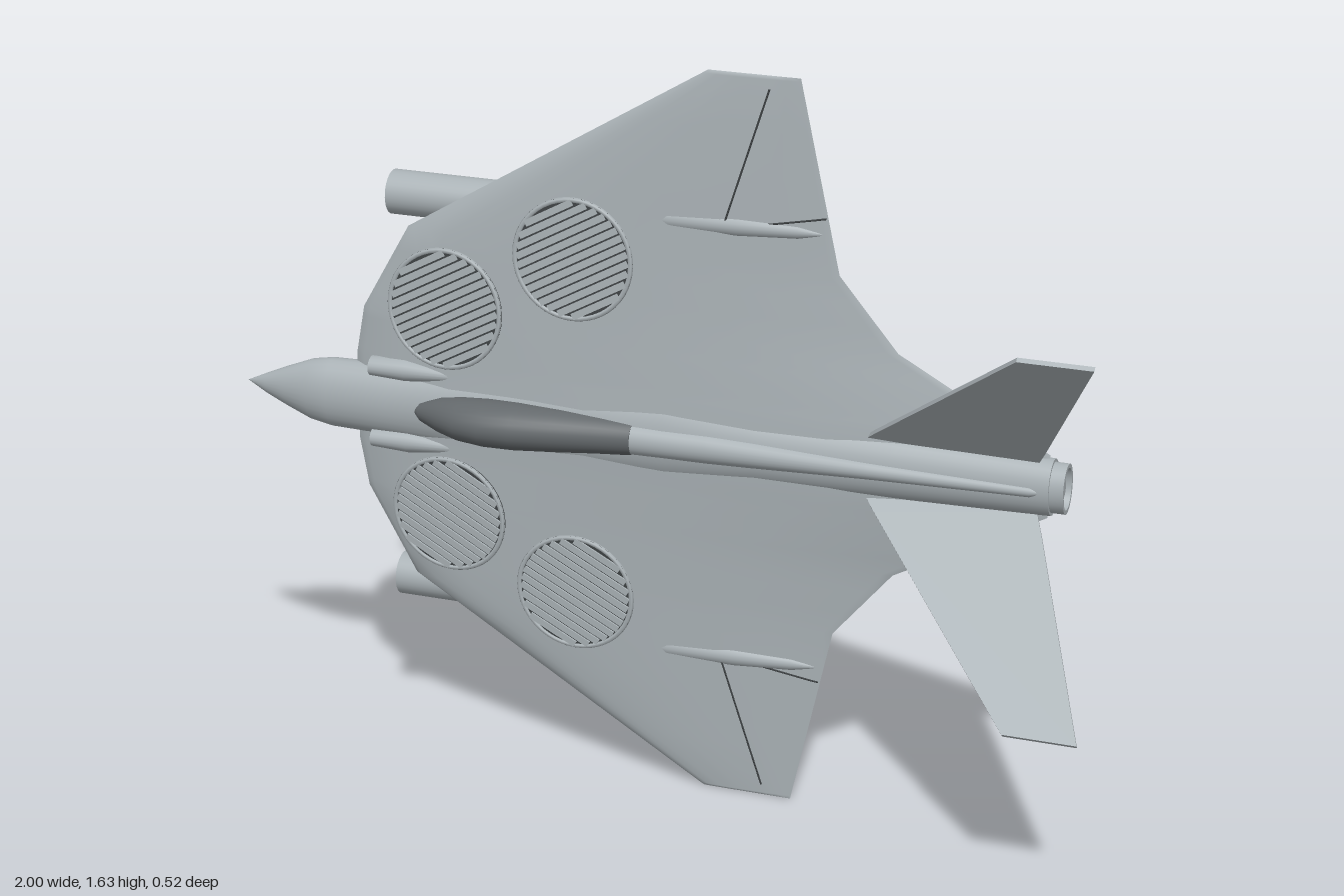
import * as THREE from 'three';

const MID_Y = 0.817, MID_Z = -0.105;

// Piecewise linear lookup in [[key, value], ...]
function lerpTable(table, k) {
  for (let i = 1; i < table.length; i++) {
    const [k0, v0] = table[i - 1], [k1, v1] = table[i];
    if (k <= k1) return v0 + (v1 - v0) * Math.max(0, (k - k0) / (k1 - k0));
  }
  return table[table.length - 1][1];
}

// Wing planform and thickness against span distance, and section against chord
const LEADING = [[0, -0.73], [0.1, -0.73], [0.21, -0.71], [0.405, -0.6], [0.817, 0.08]];
const TRAILING = [[0, 0.83], [0.07, 0.83], [0.12, 0.74], [0.19, 0.61], [0.25, 0.5], [0.405, 0.37], [0.817, 0.28]];
const THICK = [[0, 0.05], [0.1, 0.044], [0.405, 0.031], [0.6, 0.02], [0.81, 0.007], [0.817, 0]];
const SECTION = [[0, 0], [0.015, 0.3], [0.06, 0.65], [0.15, 0.9], [0.35, 1], [0.7, 0.75], [0.98, 0.12], [1, 0]];

function wingHeight(x, s) {
  const a = Math.abs(s), le = lerpTable(LEADING, a), te = lerpTable(TRAILING, a);
  return lerpTable(THICK, a) * lerpTable(SECTION, (x - le) / (te - le));
}

// One skin of the wing as a grid over chord and span
function wingSkin(side) {
  const half = [0, 0.035, 0.07, 0.1, 0.12, 0.15, 0.19, 0.21, 0.25, 0.3, 0.35, 0.405, 0.5, 0.6, 0.7, 0.81, 0.817];
  const spans = [...half.slice(1).reverse().map(s => -s), ...half];
  const chords = [0, 0.015, 0.06, 0.1, 0.15, 0.25, 0.35, 0.5, 0.7, 0.85, 0.98, 1];
  const pos = [], idx = [], n = chords.length;
  spans.forEach((s, i) => chords.forEach((u, j) => {
    const a = Math.abs(s), le = lerpTable(LEADING, a), te = lerpTable(TRAILING, a);
    pos.push(le + (te - le) * u, s, side * lerpTable(THICK, a) * lerpTable(SECTION, u));
    if (!i || !j) return;
    const d = i * n + j, c = d - 1, b = d - n, e = b - 1;
    if (side > 0) idx.push(e, b, c, b, d, c);
    else idx.push(e, c, b, b, c, d);
  }));
  const g = new THREE.BufferGeometry();
  g.setAttribute('position', new THREE.Float32BufferAttribute(pos, 3));
  g.setIndex(idx);
  g.computeVertexNormals();
  return g;
}

// Elliptical rings [x, radiusY, radiusZ, centreZ] joined along x
function loft(rings, sides = 28, flat = false) {
  const pos = [], idx = [];
  rings.forEach(([x, ry, rz, zc = 0], i) => {
    for (let j = 0; j < sides; j++) {
      const a = -Math.PI / 2 + (j / sides) * Math.PI * 2;
      pos.push(x, ry * Math.cos(a), zc + rz * Math.sin(a));
      if (!i) continue;
      const k = (j + 1) % sides, p = (i - 1) * sides, q = i * sides;
      idx.push(p + j, p + k, q + j, p + k, q + k, q + j);
    }
  });
  let g = new THREE.BufferGeometry();
  g.setAttribute('position', new THREE.Float32BufferAttribute(pos, 3));
  g.setIndex(idx);
  if (flat) g = g.toNonIndexed();
  g.computeVertexNormals();
  return g;
}

export function createModel() {
  const material = (name, color) => {
    const m = new THREE.MeshStandardMaterial({ color });
    m.name = name;
    return m;
  };
  const hull = material('hull grey', 0xaab2b6);
  const glass = material('canopy grey', 0x64696c);
  const dark = material('dark gap', 0x3f4345);

  const model = new THREE.Group();
  model.name = 'aircraft';
  const body = new THREE.Group();
  body.name = 'airframe';
  body.position.set(0, MID_Y, MID_Z);
  model.add(body);
  const add = (name, geo, mat, parent = body) => {
    const m = new THREE.Mesh(geo, mat);
    m.name = name;
    parent.add(m);
    return m;
  };

  // Blended wing, fuselage and spine
  add('wingTop', wingSkin(1), hull);
  add('wingBottom', wingSkin(-1), hull);
  add('fuselage', loft([
    [-1, 0, 0, -0.003], [-0.95, 0.024, 0.017], [-0.9, 0.046, 0.031], [-0.84, 0.07, 0.045], [-0.79, 0.079, 0.05],
    [-0.65, 0.082, 0.054], [-0.3, 0.1, 0.055], [0, 0.1, 0.056], [0.2, 0.08, 0.052], [0.5, 0.072, 0.05],
    [0.84, 0.062, 0.047], [0.84, 0.062, 0.047], [0.84, 0, 0]]), hull);
  add('spine', loft([[-0.12, 0.038, 0.035, 0.035], [0.1, 0.036, 0.034, 0.033], [0.45, 0.022, 0.028, 0.033],
    [0.8, 0.012, 0.012, 0.04], [0.84, 0, 0, 0.04]]), hull);
  add('canopy', loft([[-0.58, 0, 0, 0.047], [-0.56, 0.022, 0.022, 0.044], [-0.51, 0.039, 0.045, 0.048],
    [-0.46, 0.047, 0.059, 0.056], [-0.4, 0.051, 0.066, 0.059], [-0.33, 0.051, 0.063, 0.057], [-0.24, 0.047, 0.053, 0.05],
    [-0.15, 0.042, 0.042, 0.042], [-0.07, 0.038, 0.036, 0.036], [-0.07, 0.038, 0.036, 0.036], [-0.07, 0, 0, 0.036]]), glass);

  // Triangular belly keel
  const keel = [[-0.77, -0.055, 0.03], [-0.66, -0.105, 0.065], [-0.6, -0.145, 0.08], [-0.3, -0.16, 0.08],
    [-0.1, -0.15, 0.08], [0.22, -0.13, 0.075]].map(([x, low, ry]) => {
    const rz = (-0.03 - low) / 1.5;
    return [x, ry, rz, -0.03 - 0.5 * rz];
  });
  keel.push([0.22, 0, 0, -0.06]);
  add('keel', loft(keel, 3, true), hull);

  // Exhaust nozzle with a recessed dark ring and centre plug
  add('nozzle', loft([[0.82, 0.055, 0.042], [0.87, 0.055, 0.042], [0.87, 0.055, 0.042], [0.87, 0.046, 0.034],
    [0.87, 0.046, 0.034], [0.845, 0.044, 0.032]]), hull);
  add('nozzleInside', loft([[0.846, 0.045, 0.033], [0.846, 0, 0]]), dark);
  add('nozzlePlug', loft([[0.84, 0.025, 0.02], [0.862, 0.02, 0.016], [0.862, 0.02, 0.016], [0.862, 0, 0]]), hull);

  // Frame lying on the wing surface, with its z axis pointing out
  const onWing = (name, x, s, side) => {
    const h = wingHeight(x, s), e = 0.07;
    const dx = (wingHeight(x + e, s) - wingHeight(x - e, s)) / (2 * e);
    const ds = (wingHeight(x, s + e) - wingHeight(x, s - e)) / (2 * e);
    const normal = new THREE.Vector3(-dx, -ds, 1).normalize();
    normal.z *= side;
    const tx = new THREE.Vector3(1, 0, side * dx).normalize();
    const ty = new THREE.Vector3().crossVectors(normal, tx);
    const g = new THREE.Group();
    g.name = name;
    g.quaternion.setFromRotationMatrix(new THREE.Matrix4().makeBasis(tx, ty, normal));
    g.position.set(x, s, side * h);
    body.add(g);
    return g;
  };
  const disc = (r, depth) => new THREE.CylinderGeometry(r, r, depth, 40).rotateX(Math.PI / 2);

  // Lift fans: slanted louvres on top, paired doors underneath
  const fan = (x, s, m) => {
    const R = 0.127;
    for (const side of [1, -1]) {
      const g = onWing(side > 0 ? 'liftFan' : 'liftFanDoors', x, s, side);
      add('fanRim', new THREE.TorusGeometry(R + 0.003, 0.006, 6, 48), hull, g);
      add('fanWell', disc(R + 0.008, 0.022), dark, g).position.z = -0.009;
      if (side > 0) {
        const louvres = new THREE.Group();
        louvres.name = 'louvres';
        louvres.rotation.z = m * 0.5;
        g.add(louvres);
        for (let i = -6; i <= 6; i++) {
          const y = i * 0.0185, len = 2 * Math.sqrt(R * R - y * y) - 0.006;
          add('louvre', new THREE.BoxGeometry(len, 0.0145, 0.006), hull, louvres).position.set(0, y, 0.003);
        }
      } else {
        for (const k of [1, -1]) {
          const door = new THREE.Shape();
          door.absarc(0, 0, R - 0.004, -Math.PI / 2 + 0.02, Math.PI / 2 - 0.02, false);
          const geo = new THREE.ExtrudeGeometry(door, { depth: 0.005, bevelEnabled: false, curveSegments: 24 });
          const mesh = add('fanDoor', geo, hull, g);
          mesh.position.set(k * 0.002, 0, k > 0 ? 0.001 : 0.006);
          if (k < 0) mesh.rotation.y = Math.PI;
        }
      }
    }
  };

  // Thin panel line that follows the wing surface on one side
  const panelLine = (a, b, side) => {
    const pts = [];
    for (let i = 0; i <= 10; i++) {
      const t = i / 10, x = a[0] + (b[0] - a[0]) * t, s = a[1] + (b[1] - a[1]) * t;
      pts.push(new THREE.Vector3(x, s, side * wingHeight(x, s)));
    }
    add('flapLine', new THREE.TubeGeometry(new THREE.CatmullRomCurve3(pts), 20, 0.0022, 5), dark);
  };

  for (const m of [1, -1]) {
    fan(-0.505, m * 0.238, m);
    fan(-0.21, m * 0.383, m);

    // Underwing pod on a short pylon
    add('pod', new THREE.CylinderGeometry(0.049, 0.049, 0.33, 32).rotateZ(Math.PI / 2), hull)
      .position.set(-0.505, m * 0.45, -0.085);
    add('pylon', new THREE.BoxGeometry(0.14, 0.014, 0.05), hull).position.set(-0.42, m * 0.45, -0.03);

    // Canted tail fin
    const outline = new THREE.Shape([[0.43, -0.05], [0.47, 0], [0.84, 0.441], [0.995, 0.441], [0.83, 0], [0.81, -0.05]]
      .map(p => new THREE.Vector2(...p)));
    const finGeo = new THREE.ExtrudeGeometry(outline, { depth: 0.01, bevelEnabled: false }).translate(0, 0, -0.005);
    const fin = add('tailFin', finGeo, hull);
    fin.rotation.x = m > 0 ? Math.PI / 4 : Math.PI * 0.75;
    fin.position.set(0, m * 0.092, 0.046);

    // Side intake beside the nose
    add('intake', loft([[-0.685, 0.022, 0.026], [-0.6, 0.026, 0.028], [-0.4, 0.005, 0.01]], 20), hull)
      .position.set(0, m * 0.083, 0.022);
    add('intakeMouth', loft([[-0.686, 0, 0], [-0.686, 0.019, 0.023]], 20), dark).position.set(0, m * 0.083, 0.022);

    // Flap hinge fairing and panel lines
    add('flapFairing', loft([[-0.2, 0, 0], [0, 0.025, 0.024], [0.15, 0.024, 0.025], [0.28, 0.015, 0.014], [0.35, 0, 0]], 16), hull)
      .position.y = m * 0.49;
    for (const side of [1, -1]) {
      panelLine([0.12, m * 0.485], [0.215, m * 0.79], side);
      panelLine([0.12, m * 0.485], [0.34, m * 0.525], side);
    }
  }
  return model;
}
